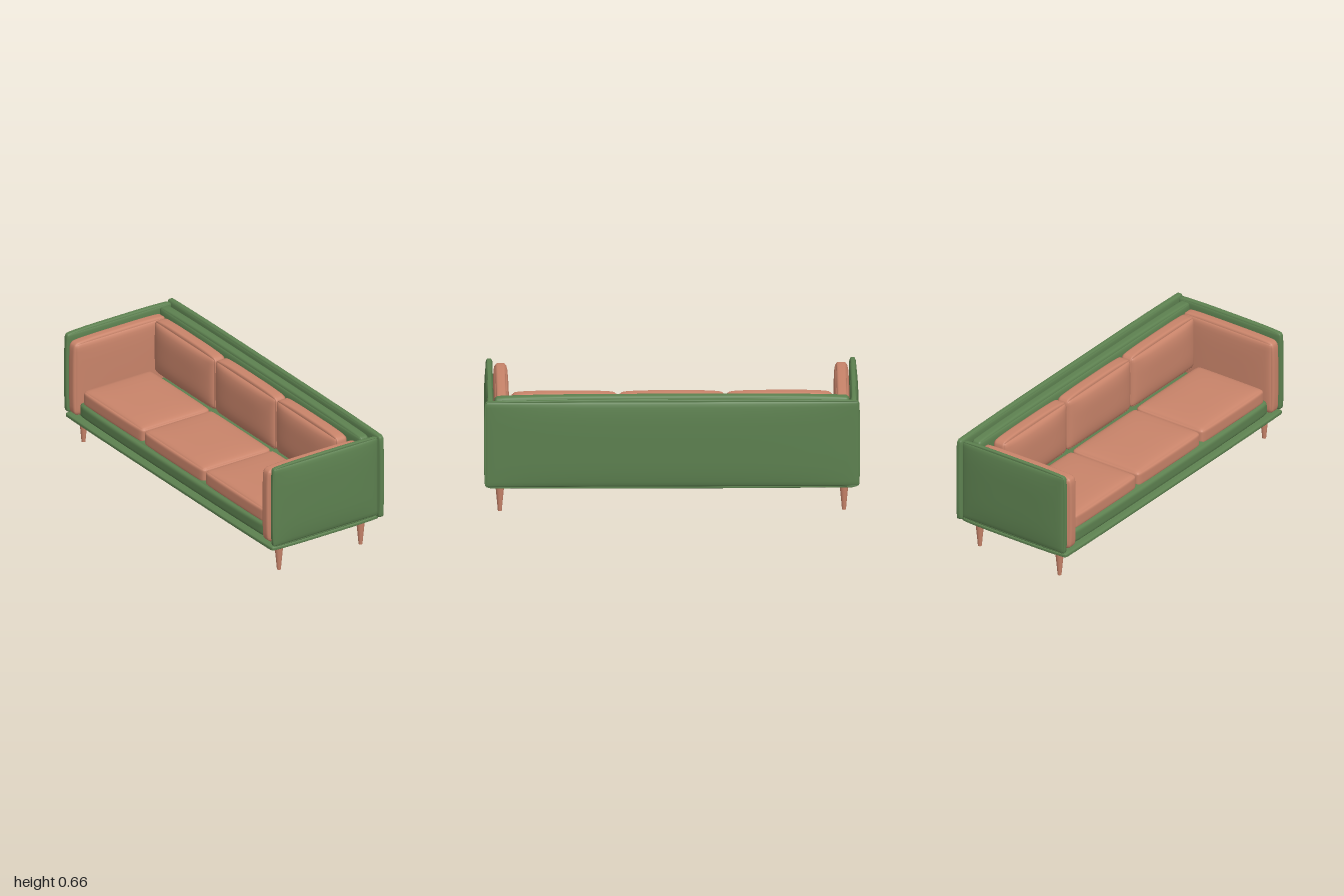
import * as THREE from 'three';
import { mergeVertices } from 'three/addons/utils/BufferGeometryUtils.js';

const green = new THREE.MeshStandardMaterial({ color: 0x5d8150 });
green.name = 'green fabric';
const tan = new THREE.MeshStandardMaterial({ color: 0xc9846a });
tan.name = 'terracotta';

// Rounded, upholstered block between two corners. lo / hi give, per axis,
// how far each face falls back from its crowned middle towards its edges.
function puff(name, material, min, max, r, lo, hi) {
  const n = 18;
  let geo = new THREE.BoxGeometry(2, 2, 2, n, n, n);
  geo.deleteAttribute('normal');
  geo.deleteAttribute('uv');
  geo = mergeVertices(geo);
  const pos = geo.attributes.position;
  const half = min.map((m, i) => (max[i] - m) / 2);
  for (let i = 0; i < pos.count; i++) {
    // crowd the grid towards the edges
    const u = [pos.getX(i), pos.getY(i), pos.getZ(i)].map((c) => Math.sin(c * Math.PI / 2));
    const core = u.map((c, a) => THREE.MathUtils.clamp(c * half[a], r - half[a], half[a] - r));
    const d = new THREE.Vector3(...u.map((c, a) => c * half[a] - core[a])).setLength(r).toArray();
    const p = u.map((c, a) => {
      const b = u[(a + 1) % 3] ** 4, e = u[(a + 2) % 3] ** 4;
      const fall = 1 - (1 - b) * (1 - e);
      const shift = c > 0 ? -hi[a] * c * fall : -lo[a] * c * fall;
      return (min[a] + max[a]) / 2 + core[a] + d[a] + shift;
    });
    pos.setXYZ(i, ...p);
  }
  geo.computeVertexNormals();
  const mesh = new THREE.Mesh(geo, material);
  mesh.name = name;
  return mesh;
}

export function createModel() {
  const sofa = new THREE.Group();
  sofa.name = 'sofa';

  // base and seat deck
  sofa.add(
    puff('base', green, [-0.364, 0.137, -0.98], [0.335, 0.178, 0.98], 0.012, [0.005, 0.013, 0.01], [0.005, 0.003, 0.01]),
    puff('seatDeck', green, [-0.352, 0.175, -0.88], [0.24, 0.28, 0.88], 0.03, [0.01, 0.005, 0.01], [0, 0.008, 0.01])
  );

  // outer and inner back panels
  sofa.add(
    puff('outerBack', green, [0.314, 0.155, -1], [0.362, 0.657, 1], 0.016, [0, 0.008, 0.006], [0.014, 0.008, 0.006]),
    puff('innerBack', green, [0.218, 0.18, -0.95], [0.298, 0.657, 0.95], 0.022, [0.008, 0.005, 0.008], [0.008, 0.01, 0.008])
  );

  // arms: outer shell and inner pad
  for (const s of [1, -1]) {
    const side = s > 0 ? 'left' : 'right';
    const span = (a, b) => (s > 0 ? [a, b] : [-b, -a]);
    const bulge = (inner, outer) => (s > 0 ? [inner, outer] : [outer, inner]);
    const [z0, z1] = span(0.946, 0.996);
    const [l, h] = bulge(0.003, 0.013);
    sofa.add(puff(side + 'ArmShell', green, [-0.36, 0.172, z0], [0.325, 0.649, z1], 0.015, [0.006, 0.005, l], [0.005, 0.008, h]));
    const [p0, p1] = span(0.862, 0.95);
    sofa.add(puff(side + 'ArmPad', tan, [-0.364, 0.18, p0], [0.24, 0.622, p1], 0.026, [0.007, 0.006, 0.009], [0.005, 0.008, 0.009]));
  }

  // three seat and back cushions
  for (const k of [-1, 0, 1]) {
    const z = k * 0.571;
    sofa.add(
      puff('seatCushion', tan, [-0.333, 0.245, z - 0.285], [0.118, 0.358, z + 0.285], 0.024, [0.005, 0.008, 0.005], [0.005, 0.014, 0.005]),
      puff('backCushion', tan, [0.108, 0.32, z - 0.287], [0.222, 0.642, z + 0.287], 0.026, [0.024, 0.004, 0.005], [0.008, 0.012, 0.005])
    );
  }

  // tapered legs
  const legGeo = new THREE.CylinderGeometry(0.0245, 0.0105, 0.152, 24);
  for (const x of [-0.277, 0.25]) {
    for (const z of [-0.915, 0.915]) {
      const leg = new THREE.Mesh(legGeo, tan);
      leg.name = 'leg';
      leg.position.set(x, 0.076, z);
      sofa.add(leg);
    }
  }
  return sofa;
}
